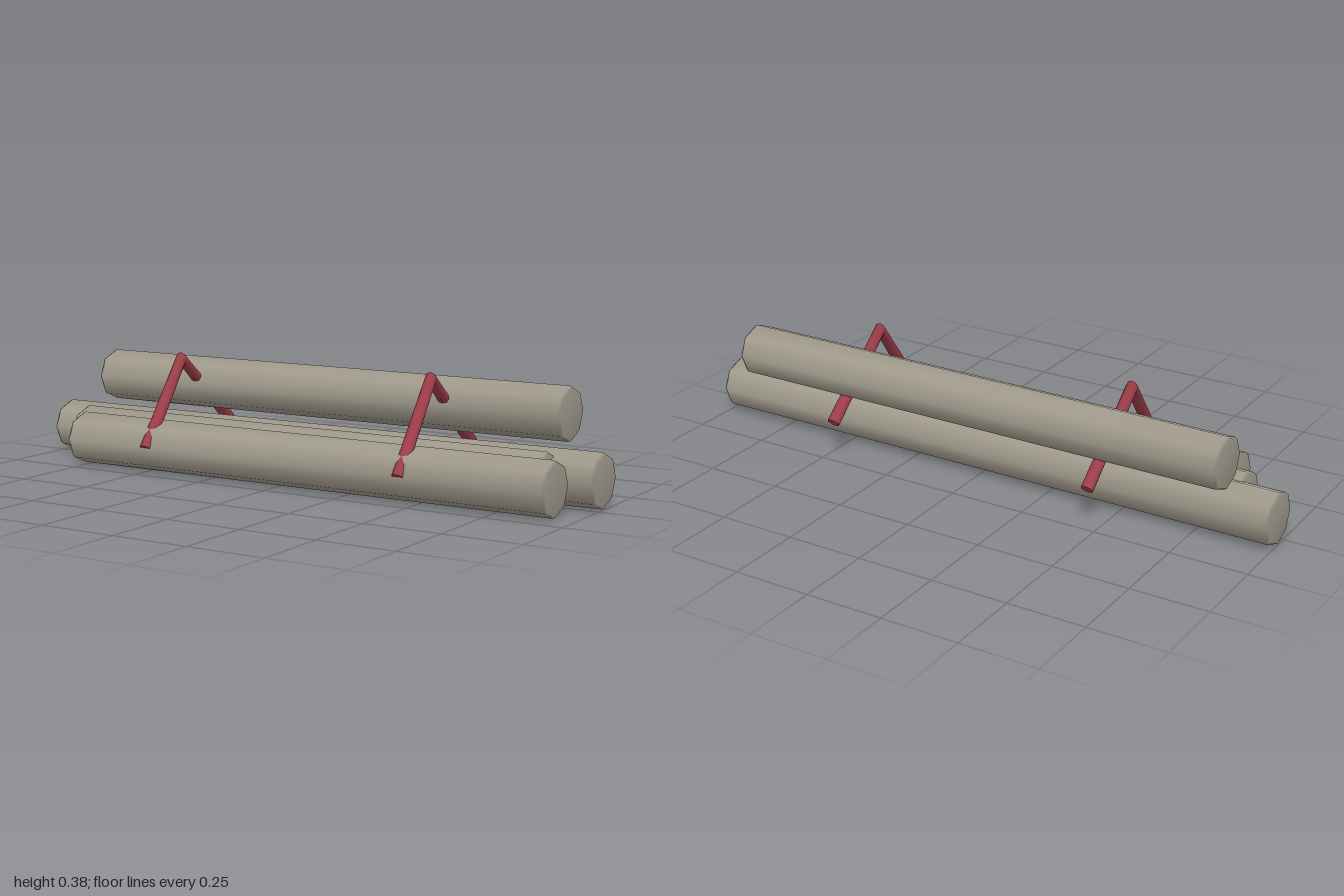
import * as THREE from 'three';
import { mergeVertices } from 'three/addons/utils/BufferGeometryUtils.js';

const wood = new THREE.MeshStandardMaterial({ name: 'weathered wood', color: 0x9f998b });
const redMetal = new THREE.MeshStandardMaterial({ name: 'red metal', color: 0xa03e4a });

// Eight-sided log along x with small chamfers and soft shared normals
function makeLog(name, length, x, y, z) {
  const r = 0.085, h = length / 2, b = 0.009, e = r - 0.005;
  const profile = [[0, -h], [e, -h], [r, b - h], [r, h - b], [e, h], [0, h]]
    .map(([px, py]) => new THREE.Vector2(px, py));
  let geo = new THREE.LatheGeometry(profile, 8);
  geo.deleteAttribute('normal');
  geo.deleteAttribute('uv');
  geo = mergeVertices(geo, 1e-5);
  geo.computeVertexNormals();
  geo.rotateZ(Math.PI / 2);
  const mesh = new THREE.Mesh(geo, wood);
  mesh.name = name;
  mesh.position.set(x, y, z);
  return mesh;
}

// Bent rod: eight-sided rings swept along a path of [y, z] points, capped at both ends
function bentRodGeometry(path, r) {
  const sides = 8, pos = [], index = [];
  const pts = path.map(([y, z]) => new THREE.Vector3(0, y, z));
  const dirs = pts.slice(1).map((p, i) => p.clone().sub(pts[i]).normalize());
  const ring = (i) => {
    const t = dirs[Math.max(i - 1, 0)].clone().add(dirs[Math.min(i, dirs.length - 1)]).normalize();
    const start = pos.length / 3;
    for (let k = 0; k < sides; k++) {
      const a = (k / sides) * Math.PI * 2, c = Math.cos(a) * r;
      pos.push(Math.sin(a) * r, pts[i].y - t.z * c, pts[i].z + t.y * c);
    }
    return start;
  };
  const rings = pts.map((_, i) => ring(i));
  for (let i = 0; i < rings.length - 1; i++) {
    for (let k = 0; k < sides; k++) {
      const n = (k + 1) % sides;
      const a = rings[i] + k, b = rings[i] + n, c = rings[i + 1] + n, d = rings[i + 1] + k;
      index.push(a, d, b, b, d, c);
    }
  }
  // Caps use their own vertices so they stay flat
  const first = ring(0), last = ring(pts.length - 1);
  for (let k = 1; k < sides - 1; k++) {
    index.push(first, first + k, first + k + 1);
    index.push(last, last + k + 1, last + k);
  }
  // Make sure the faces point outward
  const v = (i) => new THREE.Vector3().fromArray(pos, i * 3);
  const capNormal = v(first + 1).sub(v(first)).cross(v(first + 2).sub(v(first)));
  if (capNormal.dot(dirs[0]) > 0) index.reverse();
  const geo = new THREE.BufferGeometry();
  geo.setAttribute('position', new THREE.Float32BufferAttribute(pos, 3));
  geo.setIndex(index);
  geo.computeVertexNormals();
  return geo;
}

export function createModel() {
  const model = new THREE.Group();
  model.name = 'logSeat';

  // Three logs side by side, one raised at the back
  model.add(
    makeLog('frontLog', 1.72, 0.075, 0.085, 0.154),
    makeLog('middleLog', 1.72, -0.003, 0.085, 0.037),
    makeLog('rearLog', 2, 0, 0.085, -0.04),
    makeLog('raisedLog', 1.72, -0.003, 0.261, -0.118),
  );

  // Pair of bent rods holding the logs
  const rodGeo = bentRodGeometry([[0.085, 0.234], [0.357, 0.038], [0.125, -0.234]], 0.0205);
  for (const [name, x] of [['rightRod', -0.465], ['leftRod', 0.463]]) {
    const rod = new THREE.Mesh(rodGeo, redMetal);
    rod.name = name;
    rod.position.x = x;
    model.add(rod);
  }
  return model;
}
